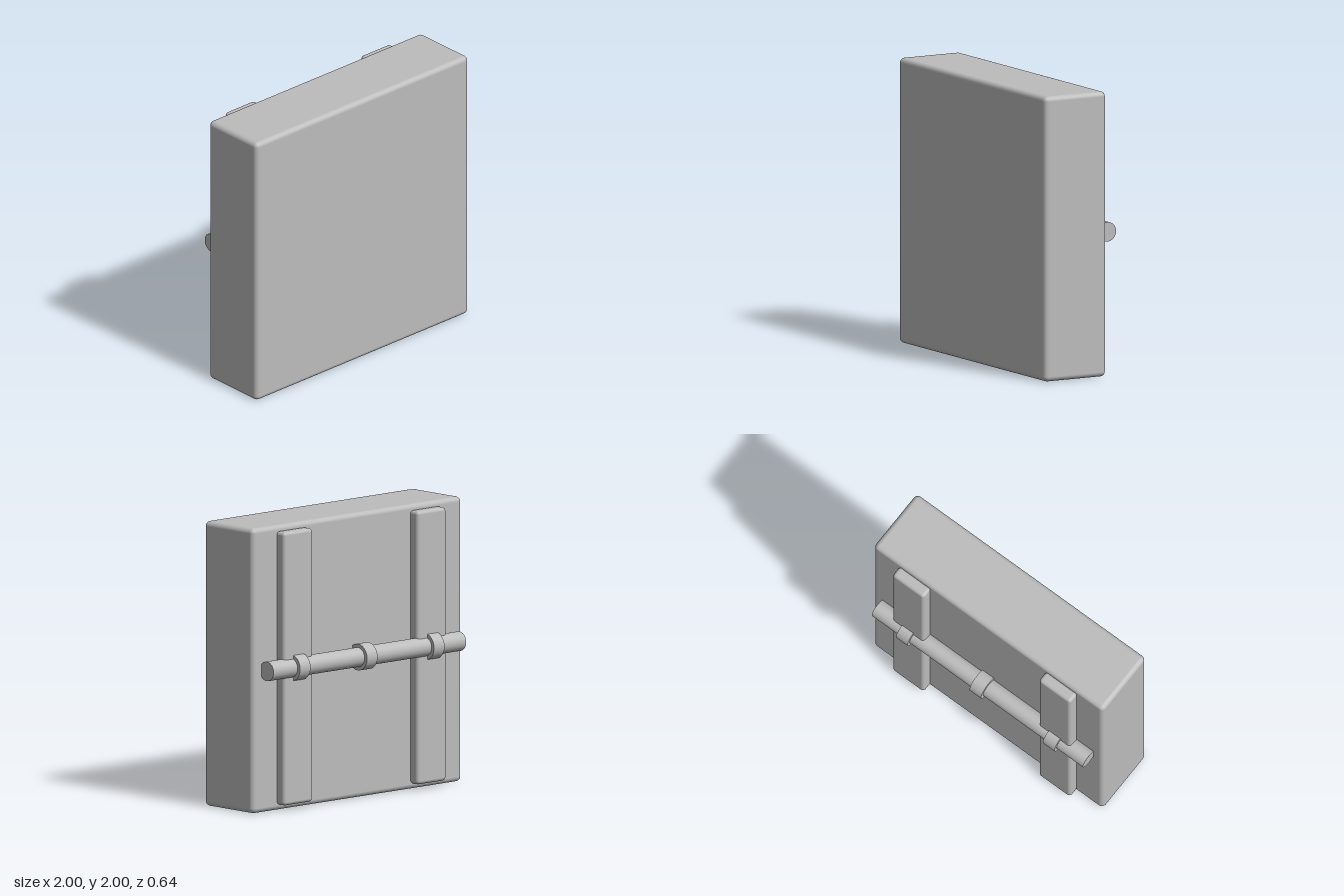
import * as THREE from 'three';
import { RoundedBoxGeometry } from 'three/addons/geometries/RoundedBoxGeometry.js';

export function createModel() {
  const group = new THREE.Group();
  const grey = new THREE.MeshStandardMaterial({ color: 0xbcbcbc });
  grey.name = 'grey';

  const add = (name, geometry, x, y, z) => {
    const mesh = new THREE.Mesh(geometry, grey);
    mesh.name = name;
    mesh.position.set(x, y, z);
    group.add(mesh);
  };
  // Cylinder lying along x
  const bar = (radius, length) =>
    new THREE.CylinderGeometry(radius, radius, length, 48).rotateZ(Math.PI / 2);

  // Square slab
  add('panel', new RoundedBoxGeometry(2, 2, 0.495, 3, 0.035), 0, 1, 0.0725);

  // Upright battens on the back, slightly sunk into the slab
  const batten = new RoundedBoxGeometry(0.275, 1.92, 0.09, 3, 0.025);
  add('leftBatten', batten, 0.638, 1, -0.21);
  add('rightBatten', batten, -0.638, 1, -0.21);

  // Horizontal rod across the back
  const rodZ = -0.23;
  add('rod', bar(0.068, 1.84), 0, 1, rodZ);

  // Collars around the rod
  const collar = bar(0.093, 0.1);
  for (const [name, x] of [['leftCollar', 0.64], ['middleCollar', 0], ['rightCollar', -0.64]]) {
    add(name, collar, x, 1, rodZ);
  }
  return group;
}
